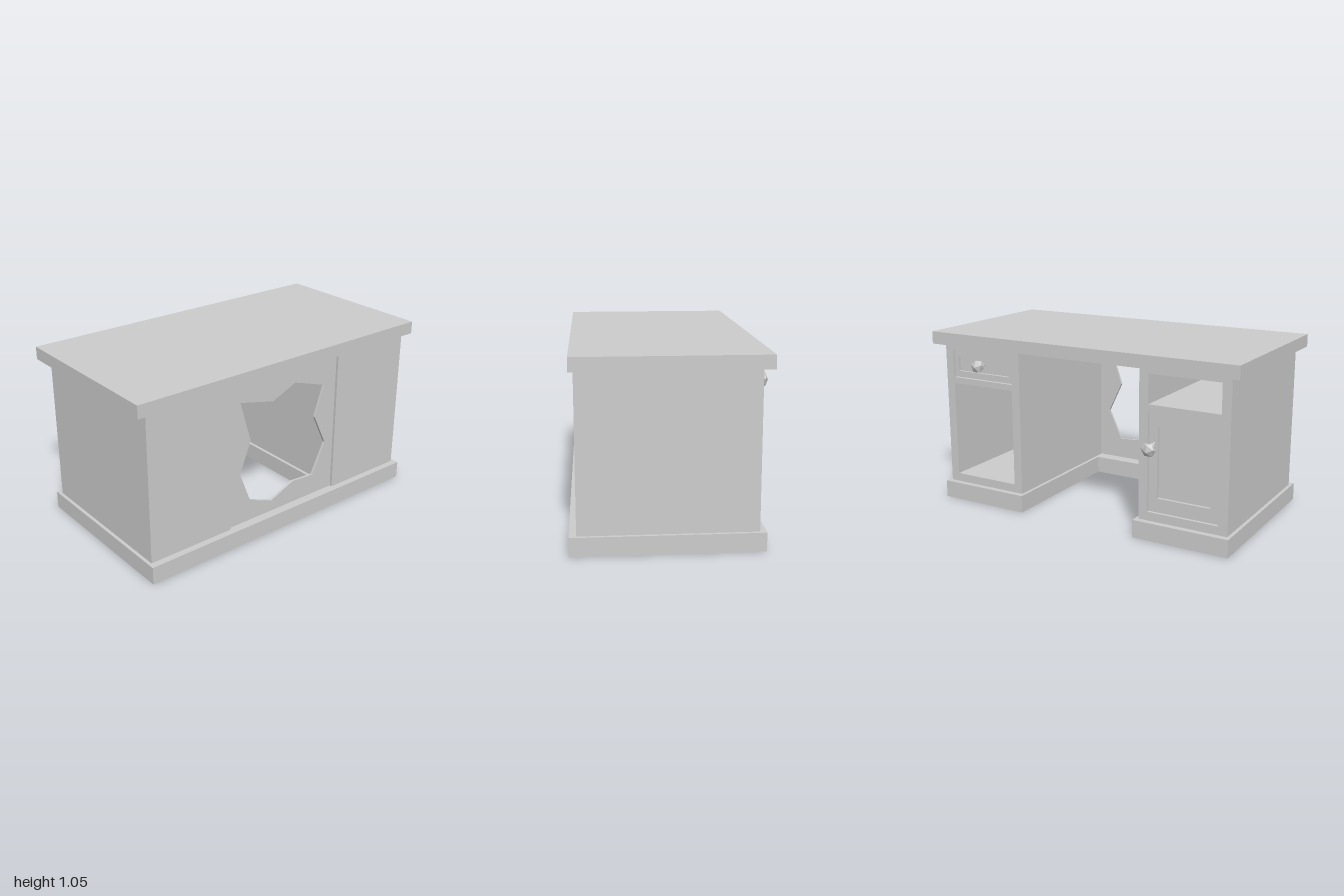
import * as THREE from 'three';

const mat = new THREE.MeshStandardMaterial({ color: 0xcccccc, flatShading: true });

function add(parent, name, geometry, x = 0, y = 0, z = 0) {
  const mesh = new THREE.Mesh(geometry, mat);
  mesh.name = name;
  mesh.position.set(x, y, z);
  parent.add(mesh);
  return mesh;
}

// Box given by its limits on each axis
function block(parent, name, x0, x1, y0, y1, z0, z1) {
  return add(parent, name, new THREE.BoxGeometry(x1 - x0, y1 - y0, z1 - z0),
    (x0 + x1) / 2, (y0 + y1) / 2, (z0 + z1) / 2);
}

const outline = (pts) => pts.map(([x, y]) => new THREE.Vector2(x, y));
const rect = (x0, x1, y0, y1) => outline([[x0, y0], [x1, y0], [x1, y1], [x0, y1]]);

// Flat outline with holes, extruded from z0 to z1
function plate(parent, name, pts, holes, z0, z1) {
  const shape = new THREE.Shape(pts);
  shape.holes = holes.map((h) => new THREE.Path(h));
  const geometry = new THREE.ExtrudeGeometry(shape, { depth: z1 - z0, bevelEnabled: false });
  return add(parent, name, geometry, 0, 0, z0);
}

// Faceted knob on a short stem, pointing to -z from its origin
function knob(name, x, y, z, tilt, reach) {
  const g = new THREE.Group();
  g.name = name;
  const rod = (part, r, z0, z1) =>
    add(g, part, new THREE.CylinderGeometry(r, r, z1 - z0, 8).rotateX(Math.PI / 2), 0, 0, (z0 + z1) / 2);
  rod('knobPin', 0.006, -reach, 0.02);
  rod('knobStem', 0.017, -reach, -reach + 0.032);
  const head = new THREE.IcosahedronGeometry(1, 0)
    .rotateX(Math.atan(2 / (1 + Math.sqrt(5))))
    .scale(0.044, 0.044, 0.032);
  add(g, 'knobHead', head, 0, 0, -reach - 0.012);
  g.position.set(x, y, z);
  g.rotation.x = tilt;
  return g;
}

export function createModel() {
  const desk = new THREE.Group();
  desk.name = 'desk';
  const BACK = -0.455, FRONT = 0.51, FLOOR = 0.105, TOP = 0.98;

  block(desk, 'desktop', -1, 1, TOP, 1.055, -0.505, 0.535);

  // U-shaped plinth (outline y is -z)
  const plinth = plate(desk, 'plinth', outline([
    [-0.96, -0.55], [0.96, -0.55], [0.96, 0.49], [0.38, 0.49],
    [0.38, -0.4], [-0.38, -0.4], [-0.38, 0.49], [-0.96, 0.49],
  ]), [], 0, FLOOR);
  plinth.rotation.x = -Math.PI / 2;

  // Modesty panel with a broken hole
  const brokenHole = outline([
    [-0.32, 0.865], [-0.085, 0.81], [0.08, 0.88], [0.31, 0.805],
    [0.245, 0.615], [0.335, 0.425], [0.245, 0.235], [0.085, 0.245],
    [-0.085, 0.172], [-0.245, 0.235], [-0.32, 0.425], [-0.245, 0.615],
  ]);
  plate(desk, 'brokenPanel', rect(-0.4, 0.4, FLOOR, TOP), [brokenHole], 0.48, 0.495);

  // Two pedestals, each with a drawer slot above a cupboard
  const IN = 0.455, OUT = 0.886;
  const SLOT = [0.775, 0.945], CUPBOARD = [0.156, 0.738];
  for (const [side, s] of [['left', 1], ['right', -1]]) {
    const span = (a, b) => (s > 0 ? [a, b] : [-b, -a]);
    const pedestal = new THREE.Group();
    pedestal.name = side + 'Pedestal';
    desk.add(pedestal);
    plate(pedestal, 'carcass', rect(...span(0.4, 0.94), FLOOR, TOP),
      [rect(...span(IN, OUT), ...SLOT), rect(...span(IN, OUT), ...CUPBOARD)], BACK, FRONT - 0.03);
    block(pedestal, 'frontBoard', ...span(0.4, 0.94), FLOOR, TOP, FRONT - 0.03, FRONT);
  }

  // Inset fronts: a frame with a sunken panel behind it
  function insetFront(name, x0, x1, y0, y1, mx, my) {
    const g = new THREE.Group();
    g.name = name;
    const z = BACK + 0.012, gap = 0.003;
    plate(g, 'frame', rect(x0 + gap, x1 - gap, y0 + gap, y1 - gap),
      [rect(x0 + mx, x1 - mx, y0 + my, y1 - my)], z, z + 0.018);
    block(g, 'sunkenPanel', x0 + gap, x1 - gap, y0 + gap, y1 - gap, z + 0.018, z + 0.035);
    desk.add(g);
    return g;
  }
  insetFront('drawer', IN, OUT, ...SLOT, 0.028, 0.04)
    .add(knob('drawerKnob', 0.67, 0.87, BACK, 0, 0.03));
  insetFront('door', -OUT, -IN, ...CUPBOARD, 0.056, 0.085)
    .add(knob('doorKnob', -0.49, 0.556, BACK, -0.3, 0.05));

  return desk;
}
